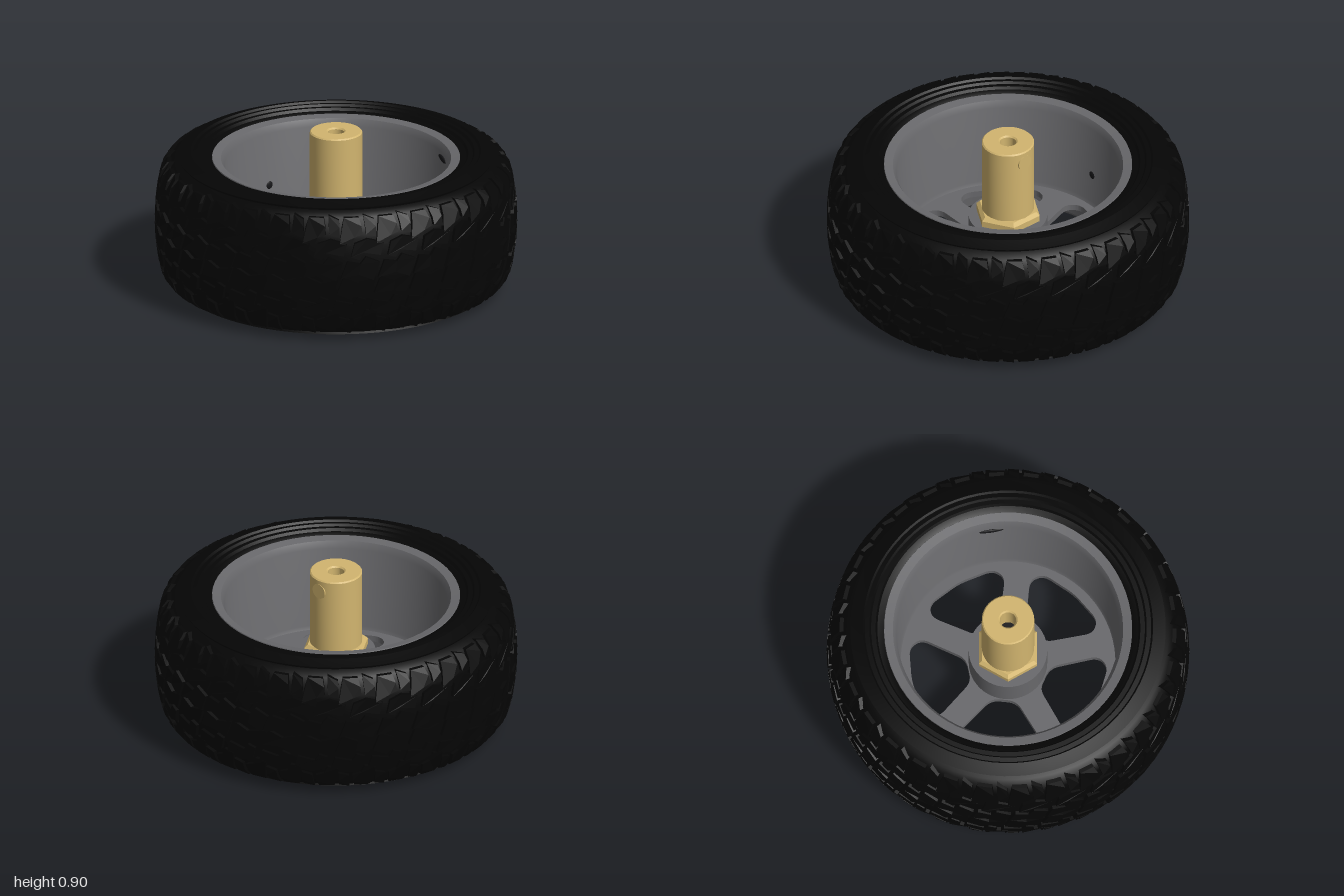
import * as THREE from 'three';
import { mergeGeometries, toCreasedNormals } from 'three/addons/utils/BufferGeometryUtils.js';

const rubber = new THREE.MeshStandardMaterial({ color: 0x050505 });
const metal = new THREE.MeshStandardMaterial({ color: 0x68686b });
const brass = new THREE.MeshStandardMaterial({ color: 0xd2b56f });
const dark = new THREE.MeshStandardMaterial({ color: 0x161618 });
const MID = 0.39; // height of the wheel's middle plane

function add(parent, name, geometry, material) {
  const mesh = new THREE.Mesh(geometry, material);
  mesh.name = name;
  parent.add(mesh);
  return mesh;
}

// Closed profile of [radius, height], counter-clockwise, with crisp edges
function turned(profile, segments = 64, crease = 0.5) {
  const pts = profile.map(([r, y]) => new THREE.Vector2(r, y));
  pts.push(pts[0].clone());
  return toCreasedNormals(new THREE.LatheGeometry(pts, segments), crease);
}

// Tyre carcass: half profile as [radius, distance from middle], mirrored
function tyreBody() {
  const half = [[0.98, 0], [0.975, 0.13], [0.96, 0.22], [0.945, 0.285], [0.915, 0.33], [0.885, 0.35],
    [0.865, 0.358], [0.87, 0.37], [0.84, 0.378], [0.80, 0.39], [0.79, 0.38],
    [0.765, 0.384], [0.755, 0.372], [0.73, 0.374], [0.72, 0.36], [0.685, 0.352], [0.66, 0.33]];
  const lower = half.slice(1).reverse().map(([r, d]) => [r, MID - d]);
  const upper = half.map(([r, d]) => [r, MID + d]);
  return turned([...lower, ...upper], 80, 0.6);
}

// Radius of the tread surface at a distance from the middle
function treadRadius(d) {
  const shoulder = Math.max(0, Math.abs(d) - 0.27);
  return 1 - 0.4 * d * d - 6 * shoulder * shoulder;
}

// Tread blocks drawn flat as [pitch fraction, distance from middle], then wrapped round the tyre
function treadBlocks() {
  const pitches = 30, pitch = Math.PI * 2 / pitches;
  const outlines = [
    [[0.02, 0], [0.5, 0.025], [0.9, -0.01], [1.08, 0.09], [0.7, 0.125], [0.55, 0.085], [0.2, 0.1]],
    [[0.3, 0.125], [0.52, 0.11], [0.64, 0.15], [1.1, 0.13], [1.2, 0.2], [0.75, 0.225], [0.4, 0.2]],
    [[0.0, 0.2], [0.3, 0.19], [0.4, 0.235], [0.62, 0.25], [0.6, 0.295], [0.55, 0.335], [0.12, 0.335], [0.06, 0.29]],
    [[0.72, 0.25], [1.0, 0.235], [1.0, 0.29], [0.98, 0.325], [0.68, 0.345], [0.7, 0.295]],
  ];
  const parts = [];
  for (const side of [1, -1]) {
    for (const outline of outlines) {
      const shape = new THREE.Shape(
        outline.map(([a, d]) => new THREE.Vector2(side * a * pitch, side * d)));
      const block = new THREE.ExtrudeGeometry(shape, { depth: 1, bevelEnabled: false });
      const p = block.attributes.position;
      for (let i = 0; i < p.count; i++) {
        const a = p.getX(i), d = p.getY(i);
        const r = treadRadius(d) - (p.getZ(i) > 0.5 ? 0 : 0.05);
        p.setXYZ(i, r * Math.sin(a), MID + d, r * Math.cos(a));
      }
      block.computeVertexNormals();
      for (let k = 0; k < pitches; k++) parts.push(block.clone().rotateY(k * pitch));
    }
  }
  return mergeGeometries(parts);
}

// Rounded window between two spokes, pointing along the given angle
function windowPath(angle) {
  const corners = [[0.222, -0.07], [0.44, -0.235], [0.515, -0.2], [0.542, 0],
    [0.515, 0.2], [0.44, 0.235], [0.222, 0.07]]
    .map(([u, v]) => new THREE.Vector2(u, v).rotateAround(new THREE.Vector2(), angle));
  const n = corners.length, path = new THREE.Path();
  corners.forEach((c, i) => {
    const before = corners[(i + n - 1) % n], after = corners[(i + 1) % n];
    const near = (q) => c.clone().lerp(q, Math.min(0.45, 0.05 / c.distanceTo(q)));
    const a = near(before), b = near(after);
    if (i === 0) path.moveTo(a.x, a.y); else path.lineTo(a.x, a.y);
    path.quadraticCurveTo(c.x, c.y, b.x, b.y);
  });
  path.closePath();
  return path;
}

// Thin five-spoke plate with a hole for the hub
function spokePlate() {
  const shape = new THREE.Shape().absarc(0, 0, 0.61, 0, Math.PI * 2, false);
  shape.holes.push(new THREE.Path().absarc(0, 0, 0.205, 0, Math.PI * 2, true));
  for (let i = 0; i < 5; i++) shape.holes.push(windowPath(i * Math.PI * 2 / 5));
  const g = new THREE.ExtrudeGeometry(shape, { depth: 0.035, bevelEnabled: false, curveSegments: 32 });
  return toCreasedNormals(g.rotateX(-Math.PI / 2).translate(0, 0.175, 0), 0.5);
}

function buildRim() {
  const rim = new THREE.Group();
  rim.name = 'rim';
  // Barrel with a flange at each end
  add(rim, 'barrel', turned([
    [0.575, 0.18], [0.58, 0.16], [0.605, 0.15], [0.615, 0.07], [0.64, 0.04], [0.675, 0.033],
    [0.69, 0.05], [0.68, 0.08], [0.65, 0.12], [0.65, 0.66], [0.68, 0.70], [0.69, 0.73],
    [0.683, 0.747], [0.635, 0.738], [0.614, 0.70], [0.602, 0.23], [0.59, 0.205], [0.575, 0.2],
  ]), metal);
  add(rim, 'spokes', spokePlate(), metal);
  // Hub: tall seat on top, dished underneath
  add(rim, 'hub', turned([
    [0.1, 0.235], [0.125, 0.228], [0.17, 0.205], [0.217, 0.175], [0.217, 0.405], [0.1, 0.405],
  ], 48), metal);
  add(rim, 'screwHead', new THREE.CylinderGeometry(0.102, 0.102, 0.1, 32), dark).position.y = 0.33;

  // Small holes through the barrel wall: [angle from +z, height, half width, half height]
  for (const [a, y, w, h] of [[Math.PI, 0.4, 0.025, 0.025], [1.2, 0.67, 0.07, 0.016]]) {
    const hole = add(rim, 'ventHole', new THREE.SphereGeometry(1, 20, 12), dark);
    hole.position.set(0.61 * Math.sin(a), y, 0.61 * Math.cos(a));
    hole.rotation.y = a;
    hole.scale.set(w, h, 0.009);
  }
  return rim;
}

function buildAdapter() {
  const adapter = new THREE.Group();
  adapter.name = 'hexAdapter';
  // Hexagonal foot with a chamfered upper edge
  const foot = (top, bottom, h, y) => {
    const g = new THREE.CylinderGeometry(top, bottom, h, 6).toNonIndexed();
    g.computeVertexNormals();
    add(adapter, 'hexFoot', g, brass).position.y = y;
  };
  foot(0.186, 0.186, 0.035, 0.4225);
  foot(0.165, 0.186, 0.02, 0.45);
  // Bored shaft
  add(adapter, 'shaft', turned([
    [0.045, 0.41], [0.145, 0.41], [0.145, 0.89], [0.138, 0.897], [0.053, 0.897], [0.045, 0.889],
  ], 40), brass);
  add(adapter, 'boreBottom', new THREE.CylinderGeometry(0.046, 0.046, 0.02, 24), dark).position.y = 0.72;
  // Set screw in the side of the shaft
  const screw = add(adapter, 'setScrew', new THREE.CylinderGeometry(0.044, 0.044, 0.06, 24), brass);
  screw.rotation.z = -Math.PI / 2;
  screw.position.set(0.116, 0.825, 0);
  return adapter;
}

export function createModel() {
  const model = new THREE.Group();
  model.name = 'wheel';
  const tyre = new THREE.Group();
  tyre.name = 'tyre';
  add(tyre, 'tyreBody', tyreBody(), rubber);
  add(tyre, 'treadBlocks', treadBlocks(), rubber);
  model.add(tyre, buildRim(), buildAdapter());
  return model;
}
